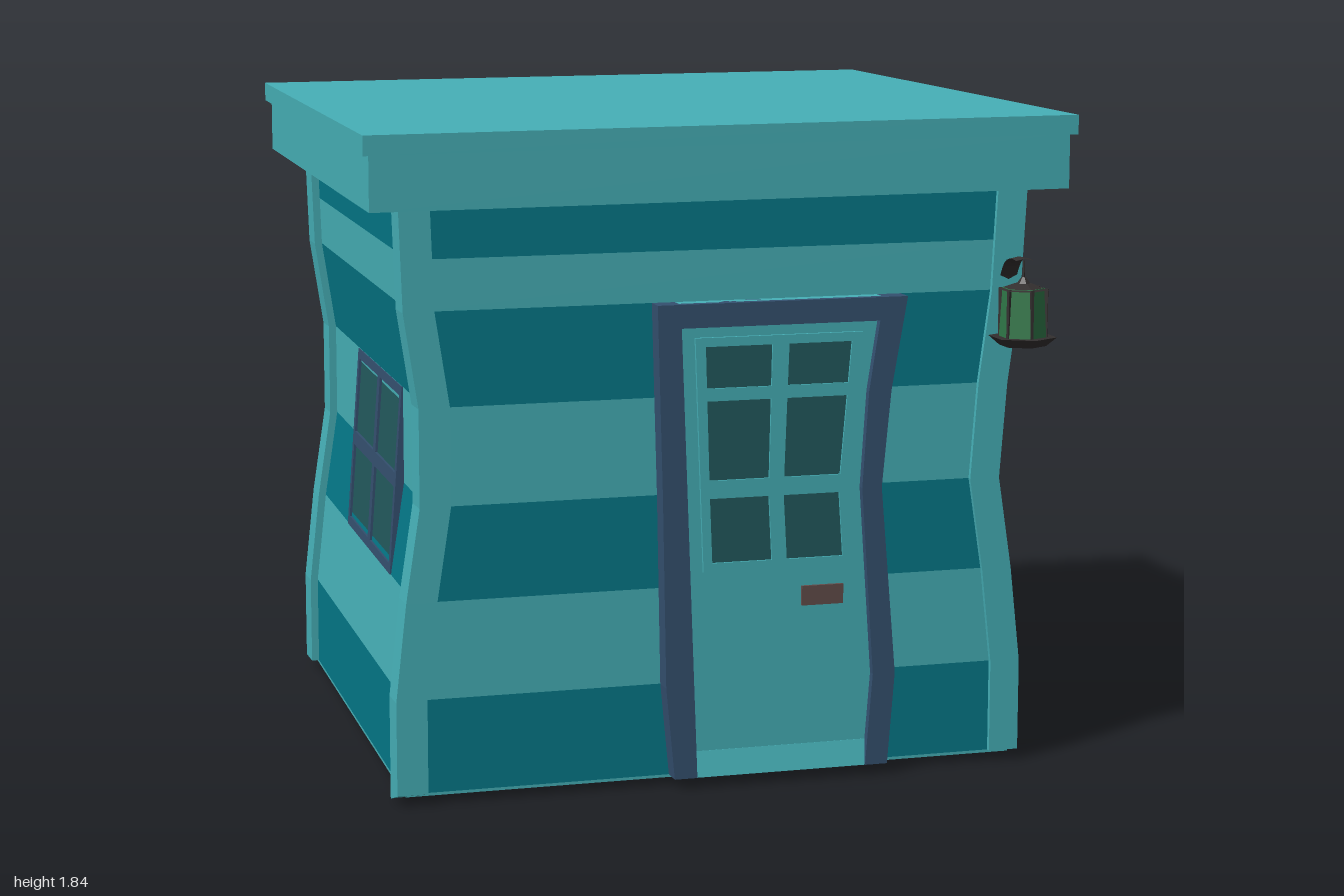
import * as THREE from 'three';

const mat = (color, side = THREE.FrontSide) =>
  new THREE.MeshStandardMaterial({ color, flatShading: true, side });
const LIGHT = mat(0x46b0b7), DARK = mat(0x037888), TRIM = mat(0x34506f);
const GLASS = mat(0x22595d, THREE.DoubleSide), GREEN = mat(0x2f7748);
const IRON = mat(0x332f2f), BROWN = mat(0x624c4a);

function add(parent, name, geometry, material) {
  const m = new THREE.Mesh(geometry, material);
  m.name = name;
  parent.add(m);
  return m;
}

// Piecewise linear lookup in [y, value] pairs
function at(table, y) {
  for (let i = 1; i < table.length; i++) {
    const [y0, v0] = table[i - 1], [y1, v1] = table[i];
    if (y <= y1) return v0 + (v1 - v0) * Math.max(0, (y - y0) / (y1 - y0));
  }
  return table[table.length - 1][1];
}

// Solid through four-cornered rings, counter-clockwise from above, bottom to top
function loft(rings) {
  const pos = [];
  const quad = (a, b, c, d) => pos.push(...a, ...b, ...c, ...a, ...c, ...d);
  for (let k = 0; k + 1 < rings.length; k++) {
    for (let i = 0; i < 4; i++) {
      const j = (i + 1) % 4;
      quad(rings[k][i], rings[k][j], rings[k + 1][j], rings[k + 1][i]);
    }
  }
  const b = rings[0], t = rings[rings.length - 1];
  quad(t[0], t[1], t[2], t[3]);
  quad(b[3], b[2], b[1], b[0]);
  const g = new THREE.BufferGeometry();
  g.setAttribute('position', new THREE.Float32BufferAttribute(pos, 3));
  g.computeVertexNormals();
  return g;
}

const rect = (x0, x1, z0, z1, y) => [[x0, y, z1], [x1, y, z1], [x1, y, z0], [x0, y, z0]];
const polygon = (pts) => new THREE.Shape(pts.map(([x, y]) => new THREE.Vector2(x, y)));
const box4 = (x0, x1, y0, y1) => [[x0, y0], [x1, y0], [x1, y1], [x0, y1]];

// Wobbly side outline: how far each side leans inwards at a height
const LEVELS = [0.03, 0.29, 0.56, 0.82, 1.09, 1.35, 1.49, 1.64];
const LEAN_L = [[0, 0], [0.29, 0], [0.56, 0.03], [0.82, 0.07], [1.09, 0.07], [1.35, 0.03], [1.64, 0.02]];
const LEAN_R = [[0, 0], [0.29, 0], [0.56, 0.03], [0.82, 0.07], [1.09, 0.05], [1.35, 0.015], [1.64, 0]];
const CORNERS = [[-0.91, 0.79], [0.89, 0.79], [0.88, -0.84], [-0.85, -0.88]];

function corner(i, y, insetX = 0, insetZ = 0) {
  const [x, z] = CORNERS[i];
  const lean = x < 0 ? at(LEAN_L, y) : at(LEAN_R, y);
  return [x - Math.sign(x) * (lean + insetX), y, z - Math.sign(z) * insetZ];
}
const wallRing = (y) => [0, 1, 2, 3].map((i) => corner(i, y, 0.025, 0.014));

// Four-paned window facing +z, its front at z = 0
function makeWindow(name, w) {
  const g = new THREE.Group(), h = 0.53, m = 0.02, b = 0.027;
  g.name = name;
  const shape = polygon(box4(-w / 2, w / 2, -h / 2, h / 2));
  for (const [x0, x1] of [[b - w / 2, -m], [m, w / 2 - b]])
    for (const [y0, y1] of [[b - h / 2, -m], [m, h / 2 - b]])
      shape.holes.push(polygon(box4(x0, x1, y0, y1)));
  const frame = new THREE.ExtrudeGeometry(shape, { depth: 0.05, bevelEnabled: false });
  add(g, 'windowFrame', frame.translate(0, 0, -0.05), TRIM);
  add(g, 'windowGlass', new THREE.PlaneGeometry(w - 0.02, h - 0.02), GLASS).position.z = -0.007;
  return g;
}

function makeDoor() {
  const g = new THREE.Group();
  g.name = 'door';
  const lo = [[0.03, -0.14], [0.29, -0.165], [0.82, -0.175], [1.35, -0.19]];
  const li = [[0.03, -0.075], [0.82, -0.105], [1.35, -0.125]];
  const ri = [[0.03, 0.415], [0.29, 0.435], [0.82, 0.398], [1.09, 0.415], [1.35, 0.455]];
  const ro = [[0.03, 0.48], [0.29, 0.5], [0.82, 0.455], [1.09, 0.48], [1.35, 0.525]];
  const ys = LEVELS.slice(0, 6);
  const strip = (a, b, z) => loft(ys.map((y) => rect(at(a, y), at(b, y), 0.7, z, y)));
  add(g, 'doorPanel', strip(li, ri, 0.812), LIGHT);
  add(g, 'doorFrameRight', strip(lo, li, 0.835), TRIM);
  add(g, 'doorFrameLeft', strip(ri, ro, 0.835), TRIM);
  add(g, 'doorLintel', loft([1.285, 1.35].map((y) => rect(at(li, y), at(ri, y), 0.7, 0.835, y))), TRIM);
  add(g, 'threshold', loft([rect(-0.075, 0.415, 0.7, 0.833, 0.03), rect(-0.08, 0.42, 0.7, 0.813, 0.1)]), LIGHT);

  // Leaning glazed part with three rows of two panes
  const gl = [[0.605, -0.055], [1.255, -0.08]];
  const gr = [[0.605, 0.375], [0.82, 0.36], [1.255, 0.4]];
  const px = (u, y) => at(gl, y) * (1 - u) + at(gr, y) * u;
  const quad = (u0, u1, y0, y1) => [[px(u0, y0), y0], [px(u1, y0), y0], [px(u1, y1), y1], [px(u0, y1), y1]];
  const outer = quad(0, 1, 0.605, 1.255);
  const shape = polygon(outer);
  for (const [y0, y1] of [[0.63, 0.81], [0.86, 1.08], [1.115, 1.23]])
    for (const [u0, u1] of [[0.06, 0.46], [0.56, 0.94]])
      shape.holes.push(polygon(quad(u0, u1, y0, y1)));
  const bars = new THREE.ExtrudeGeometry(shape, { depth: 0.02, bevelEnabled: false });
  add(g, 'doorGlazingBars', bars.translate(0, 0, 0.802), LIGHT);
  add(g, 'doorGlass', new THREE.ShapeGeometry(polygon(outer)), GLASS).position.z = 0.815;
  add(g, 'doorHandle', new THREE.BoxGeometry(0.12, 0.055, 0.02), BROWN).position.set(0.29, 0.523, 0.812);
  return g;
}

function makeLantern() {
  const g = new THREE.Group();
  g.name = 'lantern';
  const hex = (name, rt, rb, y0, y1, m) =>
    add(g, name, new THREE.CylinderGeometry(rt, rb, y1 - y0, 6), m).position.y = (y0 + y1) / 2;
  hex('lanternTray', 0.095, 0.065, 1.21, 1.235, IRON);
  hex('lanternGlass', 0.06, 0.068, 1.23, 1.37, GREEN);
  hex('lanternCap', 0.025, 0.07, 1.365, 1.382, IRON);
  hex('lanternNeck', 0.006, 0.02, 1.38, 1.4, IRON);
  // Corner posts
  for (let i = 0; i < 6; i++) {
    const a = (i * Math.PI) / 3;
    const post = add(g, 'lanternPost', new THREE.BoxGeometry(0.008, 0.138, 0.01), IRON);
    post.position.set(Math.sin(a) * 0.063, 1.3, Math.cos(a) * 0.063);
    post.rotation.y = a;
  }
  // Hanging wire and curved bracket to the corner post
  hex('lanternWire', 0.003, 0.003, 1.39, 1.445, IRON);
  const curve = new THREE.CatmullRomCurve3([[1.445, 0.005], [1.447, -0.035], [1.435, -0.075], [1.4, -0.105], [1.36, -0.125]]
    .map(([y, z]) => new THREE.Vector3(0, y, z)));
  add(g, 'lanternBracket', new THREE.TubeGeometry(curve, 10, 0.005, 4), IRON).scale.x = 5;
  g.position.set(0.838, 0, 0.9);
  return g;
}

export function createModel() {
  const house = new THREE.Group();
  house.name = 'house';

  // Striped walls on a flat floor
  for (let k = 0; k + 1 < LEVELS.length; k++)
    add(house, 'wallBand' + (k + 1), loft([wallRing(LEVELS[k]), wallRing(LEVELS[k + 1])]), k % 2 ? LIGHT : DARK);
  add(house, 'floor', loft([wallRing(0.022), wallRing(0.03)]), LIGHT);

  // Bent corner posts, the first one reaching the ground
  for (let i = 0; i < 4; i++) {
    const rings = LEVELS.map((y) => {
      const [x, , z] = corner(i, y), [u, , v] = corner(i, y, 0.086, 0.09);
      return rect(Math.min(x, u), Math.max(x, u), Math.min(z, v), Math.max(z, v), y);
    });
    if (i === 0) rings[0][3][1] = 0;
    add(house, 'cornerPost' + (i + 1), loft(rings), LIGHT);
  }

  // Slightly crooked flat roof
  const roof = [[-1, 0.88], [1, 0.88], [0.985, -0.95], [-0.93, -1]];
  const slab = (s, y0, y1) => loft([y0, y1].map((y) => roof.map(([x, z]) => [x * s, y + x * 0.004, z * s])));
  add(house, 'roofFascia', slab(0.982, 1.632, 1.785), LIGHT);
  add(house, 'roofTop', slab(1, 1.782, 1.836), LIGHT);

  house.add(makeDoor());

  // Windows on the other three sides, tilted with the walls
  for (const [name, w, x, z, turn, tilt] of [
    ['leftWindow', 0.74, 0.827, -0.02, Math.PI / 2, -0.04],
    ['rightWindow', 0.74, -0.812, 0.04, -Math.PI / 2 - 0.036, -0.075],
    ['backWindow', 0.68, -0.18, -0.864, Math.PI - 0.023, 0],
  ]) {
    const win = makeWindow(name, w);
    win.position.set(x, 0.825, z);
    win.rotation.set(tilt, turn, 0, 'YXZ');
    house.add(win);
  }

  house.add(makeLantern());
  return house;
}
